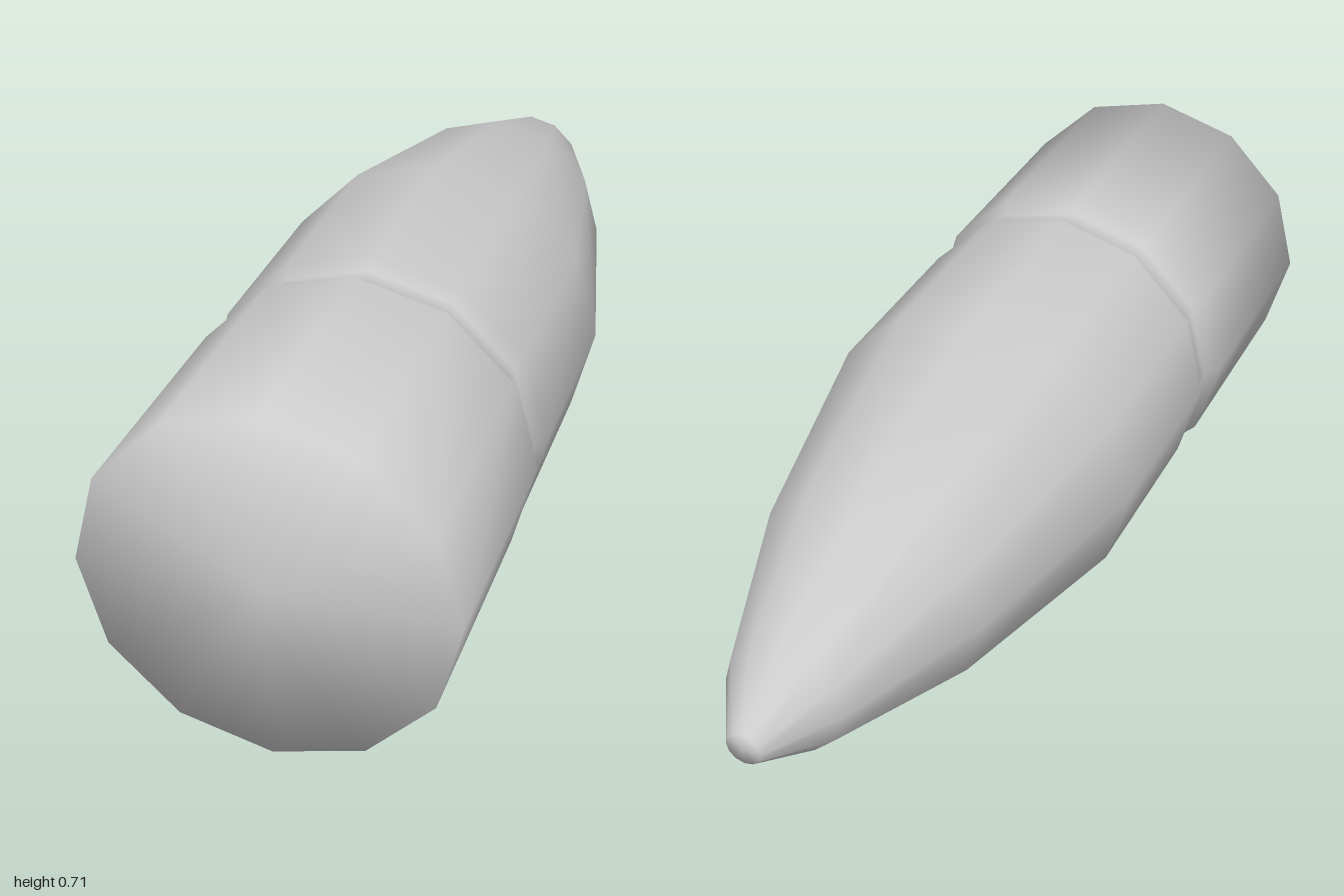
import * as THREE from 'three';

export function createModel() {
  const group = new THREE.Group();
  const material = new THREE.MeshStandardMaterial({ color: 0xcccccc });

  // Profile as [radius, distance along the axis], from the base to the tip
  const profile = [
    [0, -1], [0.357, -1], [0.357, -0.49],   // base and rear body
    [0.332, -0.46], [0.332, -0.415],        // crimp groove
    [0.352, -0.39], [0.352, 0.04],          // front body
    [0.246, 0.53], [0.122, 0.86],           // tapering nose
    [0.036, 1], [0, 1],                     // blunt tip
  ].map(([r, y]) => new THREE.Vector2(r, y));

  // Twelve-sided body with smooth normals, laid down with the tip towards -z
  const geometry = new THREE.LatheGeometry(profile, 12);
  geometry.rotateX(-Math.PI / 2);
  geometry.translate(0, 0.357, 0);

  const body = new THREE.Mesh(geometry, material);
  body.name = 'groovedPointedBody';
  group.add(body);
  return group;
}
